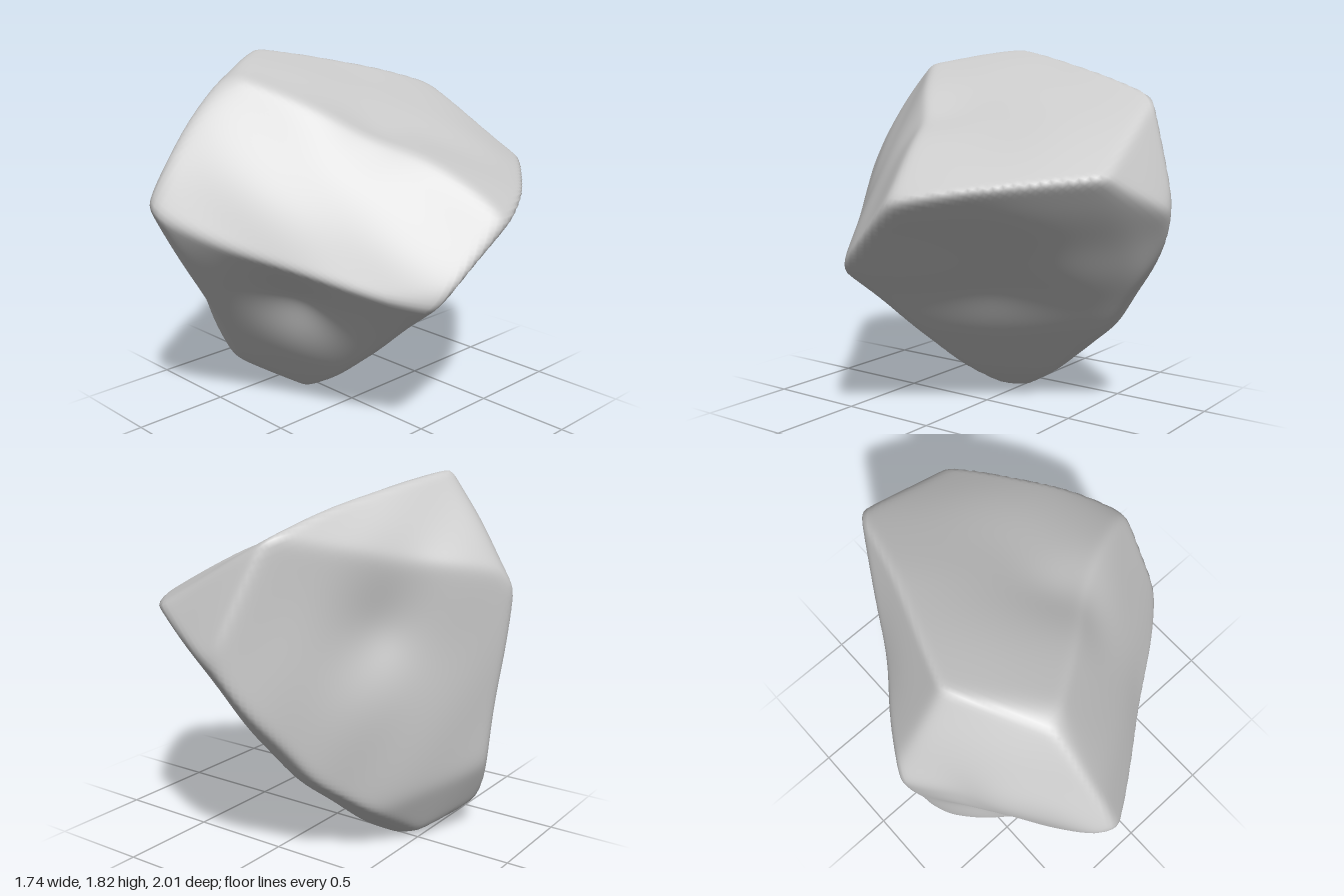
import * as THREE from 'three';
import { ConvexGeometry } from 'three/addons/geometries/ConvexGeometry.js';
import { mergeVertices } from 'three/addons/utils/BufferGeometryUtils.js';

// Corners of the boulder's main facets
const corners = [
  // crest and top rim
  [-0.55, 1.83, 0.17], [-0.33, 1.72, -0.42], [-0.22, 1.59, -0.81], [-0.2, 1.75, 0.53],
  [0.2, 1.53, 0.2], [0.55, 1.4, 0.0], [0.84, 1.2, -0.1],
  // bevel from the crest down to the prow
  [-0.3, 1.72, 0.6], [-0.3, 1.55, 0.78], [-0.28, 1.34, 0.94], [-0.44, 1.38, 0.78],
  // front prow and the ridge running down from it
  [-0.26, 1.17, 1.01], [-0.35, 1.18, 0.98], [-0.25, 1.0, 0.92], [-0.33, 0.65, 0.7], [-0.42, 0.22, 0.39],
  // lower rim of the front right facet
  [0.05, 1.02, 0.82], [0.25, 1.0, 0.65], [0.62, 0.82, 0.41], [0.78, 0.77, 0.24],
  // right and rear rim
  [0.85, 0.88, 0.17], [0.88, 1.15, -0.1], [0.88, 1.14, -0.18], [0.77, 1.18, -0.36],
  [0.71, 1.2, -0.5], [0.36, 1.24, -0.9], [0.0, 1.07, -1.01], [-0.08, 1.15, -0.99],
  [-0.12, 0.92, -0.96],
  // left corner and flank
  [-0.88, 1.29, 0.2], [-0.84, 1.37, 0.14], [-0.82, 1.1, 0.17], [-0.8, 0.8, 0.15],
  [-0.77, 0.4, 0.17], [-0.72, 0.26, 0.26], [-0.66, 0.14, 0.28],
  // lower rear edge
  [-0.12, 0.68, -0.8], [-0.24, 0.67, -0.78], [-0.2, 0.45, -0.63], [-0.35, 0.4, -0.55],
  [-0.43, 0.25, -0.36], [-0.32, 0.1, -0.2],
  // foot and lower right edge
  [-0.5, 0.03, 0.0], [-0.38, -0.01, 0.0], [-0.26, 0.01, 0.09], [0.1, 0.22, 0.14], [0.45, 0.5, 0.17],
];

// Shallow hollows worn into the facets: centre, radius, depth
const hollows = [
  [[-0.48, 1.18, -0.32], 0.42, 0.085],
  [[0.1, 0.68, 0.48], 0.38, 0.085],
  [[0.2, 1.45, -0.2], 0.5, 0.035],
  [[0.27, 1.47, 0.14], 0.32, 0.03],
  [[-0.6, 0.75, 0.5], 0.32, 0.04],
  [[-0.68, 1.27, 0.42], 0.2, 0.025],
  [[0.3, 0.7, -0.3], 0.45, 0.03],
].map(([c, radius, depth]) => ({ centre: new THREE.Vector3(...c), radius, depth }));

const core = new THREE.Vector3(-0.08, 0.95, 0);

// Facet planes, measured from the core
function facetPlanes() {
  const p = new ConvexGeometry(corners.map((c) => new THREE.Vector3(...c).sub(core))).attributes.position;
  const planes = [];
  for (let i = 0; i < p.count; i += 3) {
    const [a, b, c] = [0, 1, 2].map((k) => new THREE.Vector3().fromBufferAttribute(p, i + k));
    const n = b.clone().sub(a).cross(c.clone().sub(a));
    if (n.length() < 1e-7) continue;
    n.normalize();
    planes.push({ n, d: n.dot(a) });
  }
  return planes;
}

// Distance to the surface along a direction, with worn edges
function reach(dir, planes) {
  const power = 75;
  let nearest = Infinity;
  const hits = [];
  for (const { n, d } of planes) {
    const slope = n.dot(dir);
    if (slope < 1e-4) continue;
    hits.push(d / slope);
    nearest = Math.min(nearest, d / slope);
  }
  const sum = hits.reduce((s, h) => s + (nearest / h) ** power, 0);
  return nearest * sum ** (-1 / power) * 1.013;
}

export function createModel() {
  const group = new THREE.Group();
  group.name = 'rock';

  let geometry = new THREE.IcosahedronGeometry(1, 44);
  geometry.deleteAttribute('normal');
  geometry.deleteAttribute('uv');
  geometry = mergeVertices(geometry, 1e-5);

  const planes = facetPlanes();
  const pos = geometry.attributes.position;
  const dir = new THREE.Vector3();
  const v = new THREE.Vector3();
  for (let i = 0; i < pos.count; i++) {
    dir.fromBufferAttribute(pos, i).normalize();
    const r = reach(dir, planes);
    v.copy(dir).multiplyScalar(r).add(core);
    let sink = 0;
    for (const h of hollows) {
      sink += h.depth * Math.exp(-2 * v.distanceToSquared(h.centre) / h.radius ** 2);
    }
    // gentle weathering
    const ripple = 0.005 * Math.sin(9 * v.x + 4 * v.y) * Math.sin(8 * v.z - 5 * v.y);
    v.copy(dir).multiplyScalar(r - sink + ripple).add(core);
    pos.setXYZ(i, v.x, Math.max(v.y, 0), v.z);
  }
  geometry.computeVertexNormals();

  const boulder = new THREE.Mesh(geometry, new THREE.MeshStandardMaterial({ color: 0xcccccc }));
  boulder.name = 'boulder';
  group.add(boulder);
  return group;
}
